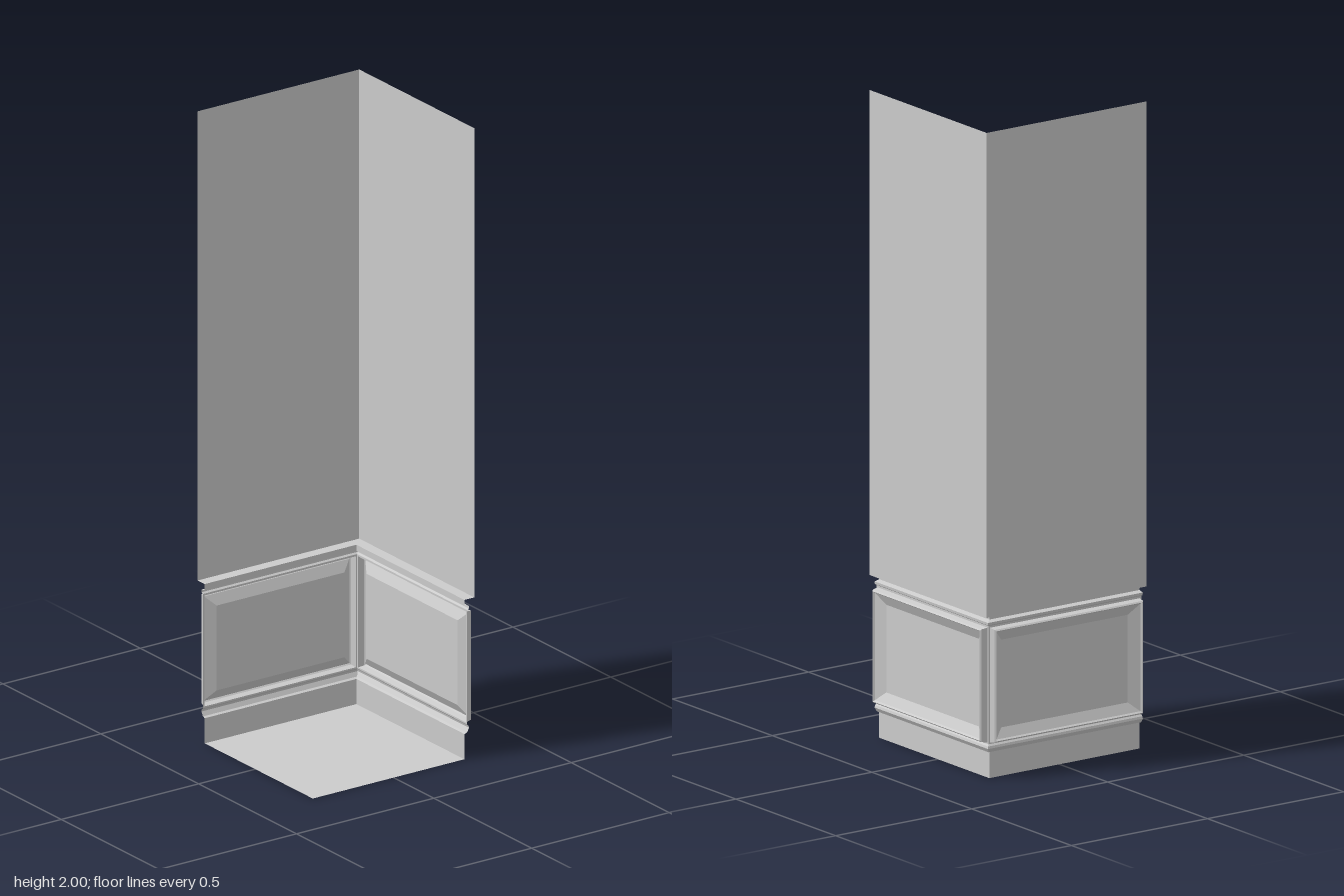
import * as THREE from 'three';

const END = -0.294;  // open end of each wall
const OUT = 0.294;   // upper wall face
const BASE = 0.258;  // plinth and neck face
const FRAME = 0.268; // face around the raised panel moulding

const material = new THREE.MeshStandardMaterial({ color: 0xcccccc, side: THREE.DoubleSide, flatShading: true });

// The two walls mirror each other across the corner diagonal.
// u runs along a wall towards the corner, d is the distance out from the centre.
const walls = [
  { name: 'back', place: (u, y, d) => [u, y, -d], flip: false },
  { name: 'side', place: (u, y, d) => [d, y, -u], flip: true },
];

function meshFromQuads(name, quads, wall) {
  const positions = [];
  for (const quad of quads) {
    const p = quad.map((v) => wall.place(...v));
    if (wall.flip) p.reverse();
    for (const i of [0, 1, 2, 0, 2, 3]) positions.push(...p[i]);
  }
  const geometry = new THREE.BufferGeometry();
  geometry.setAttribute('position', new THREE.Float32BufferAttribute(positions, 3));
  geometry.computeVertexNormals();
  const mesh = new THREE.Mesh(geometry, material);
  mesh.name = name;
  return mesh;
}

// Sweeps a [distance, height] profile along a wall, mitred at the corner
function sweep(profile) {
  return profile.slice(1).map(([d1, y1], i) => {
    const [d0, y0] = profile[i];
    return [[d0, y0, d0], [END, y0, d0], [END, y1, d1], [d1, y1, d1]];
  });
}

// Nested rectangles [u0, u1, y0, y1, d] joined by rings and closed by a flat field
function nestedPanel(rects) {
  const corners = rects.map(([u0, u1, y0, y1, d]) => [[u1, y0, d], [u0, y0, d], [u0, y1, d], [u1, y1, d]]);
  const quads = [corners[corners.length - 1]];
  for (let i = 1; i < corners.length; i++) {
    const a = corners[i - 1], b = corners[i];
    for (let k = 0; k < 4; k++) {
      const n = (k + 1) % 4;
      quads.push([a[k], a[n], b[n], b[k]]);
    }
  }
  return quads;
}

const parts = {
  Plinth: sweep([[BASE, 0], [BASE, 0.08]]),
  LowerMoulding: sweep([[BASE, 0.08], [0.267, 0.083], [0.275, 0.096], [0.273, 0.103], [FRAME, 0.108]]),
  // Flat frame, steep rim, then a bevel sinking to the field
  Panel: nestedPanel([
    [END, FRAME, 0.108, 0.472, FRAME],
    [-0.288, 0.263, 0.113, 0.466, FRAME],
    [-0.285, 0.260, 0.116, 0.463, 0.288],
    [-0.281, 0.256, 0.120, 0.459, 0.292],
    [-0.277, 0.252, 0.124, 0.455, 0.286],
    [-0.242, 0.223, 0.153, 0.423, 0.270],
  ]),
  UpperMoulding: sweep([[FRAME, 0.472], [0.274, 0.476], [0.275, 0.484], [BASE, 0.488]]),
  Neck: sweep([[BASE, 0.488], [BASE, 0.507]]),
  Soffit: sweep([[BASE, 0.507], [OUT, 0.507]]),
  UpperWall: sweep([[OUT, 0.507], [OUT, 2]]),
};

export function createModel() {
  const model = new THREE.Group();
  model.name = 'panelledCorner';
  for (const wall of walls) {
    const group = new THREE.Group();
    group.name = wall.name + 'Wall';
    for (const [part, quads] of Object.entries(parts)) {
      group.add(meshFromQuads(wall.name + part, quads, wall));
    }
    model.add(group);
  }

  // Bottom sheet, reaching the plinth faces and the open ends
  const size = BASE - END;
  const bottom = new THREE.Mesh(new THREE.PlaneGeometry(size, size), material);
  bottom.name = 'bottom';
  bottom.rotation.x = Math.PI / 2;
  bottom.position.set((BASE + END) / 2, 0, -(BASE + END) / 2);
  model.add(bottom);
  return model;
}
